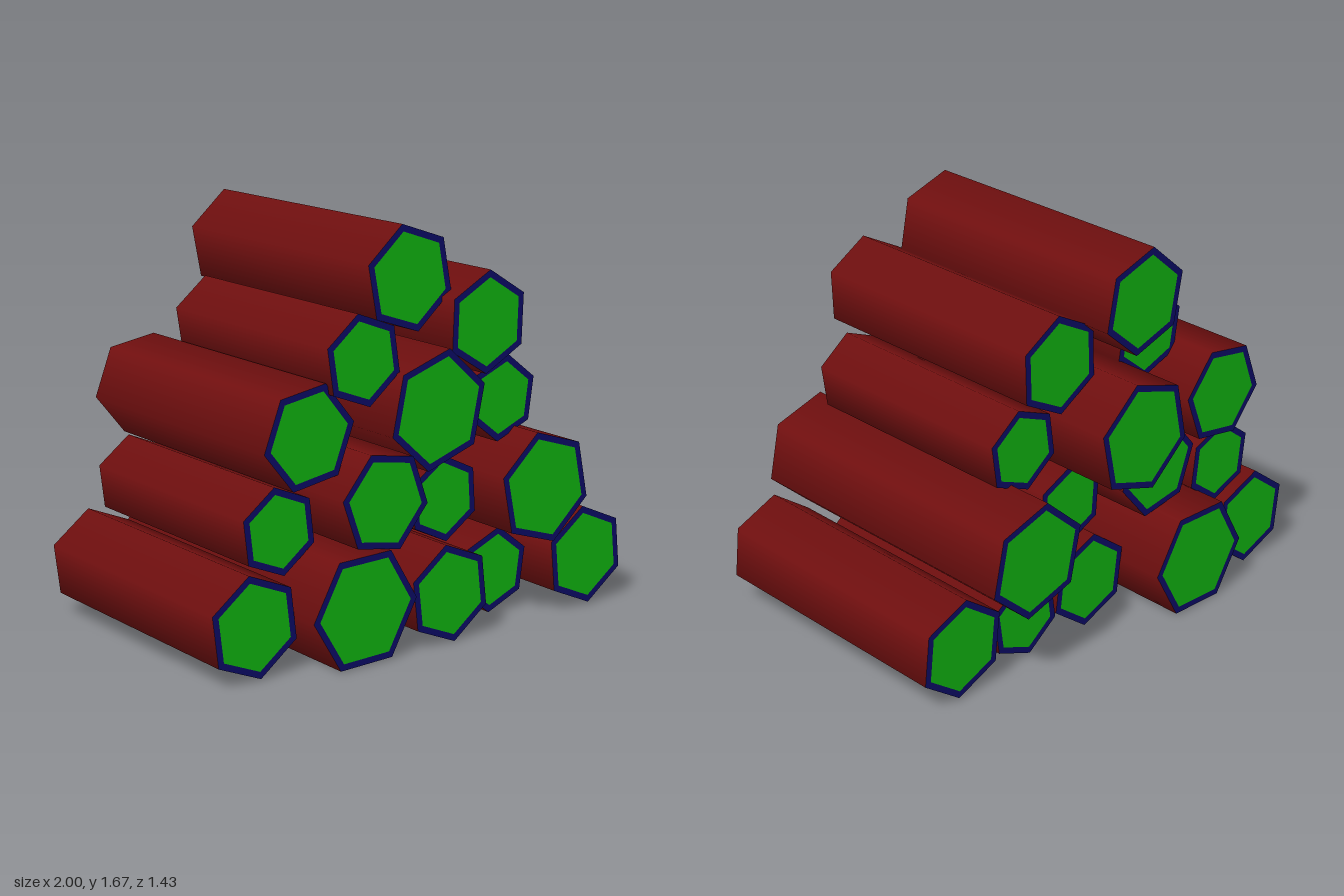
import * as THREE from 'three';

// centre x, centre y, radius, corner angle (degrees), back z, front z
const LOGS = [
  // bottom row
  [-0.81, 0.22, 0.21, 97, -0.555, 0.58],
  [-0.375, 0.23, 0.25, 1, -0.66, 0.70],
  [0.055, 0.21, 0.205, 97, -0.45, 0.69],
  [0.425, 0.195, 0.18, 22, -0.46, 0.53],
  [0.80, 0.225, 0.212, 96, -0.505, 0.675],
  // second row
  [-0.63, 0.54, 0.18, 97, -0.525, 0.49],
  [-0.265, 0.635, 0.21, -10, -0.52, 0.68],
  [0.12, 0.56, 0.18, 94, -0.40, 0.57],
  [0.535, 0.565, 0.24, 102, -0.645, 0.71],
  // third row
  [-0.545, 0.91, 0.213, 9, -0.605, 0.57],
  [0.03, 0.945, 0.243, 18, -0.715, 0.64],
  [0.42, 0.925, 0.178, 22, -0.445, 0.57],
  // top logs
  [-0.31, 1.18, 0.186, 99, -0.41, 0.60],
  [-0.05, 1.46, 0.217, 101, -0.625, 0.555],
  [0.285, 1.26, 0.207, 28, -0.505, 0.63],
];

export function createModel() {
  const bark = new THREE.MeshStandardMaterial({ color: 0x700f0f, name: 'bark' });
  const rim = new THREE.MeshStandardMaterial({ color: 0x0b0b66, name: 'rim' });
  const core = new THREE.MeshStandardMaterial({ color: 0x10b410, name: 'core' });
  const model = new THREE.Group();
  model.name = 'logPile';

  const add = (parent, name, geometry, material) => {
    const mesh = new THREE.Mesh(geometry, material);
    mesh.name = name;
    parent.add(mesh);
    return mesh;
  };

  LOGS.forEach(([x, y, r, degrees, back, front], i) => {
    const angle = THREE.MathUtils.degToRad(degrees);
    const length = front - back;
    const log = new THREE.Group();
    log.name = `log${i + 1}`;
    log.position.set(x, y, (front + back) / 2);

    // six-sided trunk with smooth sides
    const trunk = new THREE.CylinderGeometry(r, r, length, 6, 1, true, angle + Math.PI / 2);
    add(log, 'bark', trunk.rotateX(Math.PI / 2), bark);

    // cut ends: a thin rim around a flat core
    const inner = r - 0.03;
    for (const side of [1, -1]) {
      const end = new THREE.Group();
      end.name = side > 0 ? 'frontEnd' : 'backEnd';
      end.position.z = side * length / 2;
      if (side < 0) end.rotation.y = Math.PI;
      add(end, 'rim', new THREE.RingGeometry(inner, r, 6, 1, side * angle), rim);
      add(end, 'core', new THREE.CircleGeometry(inner, 6, side * angle), core);
      log.add(end);
    }
    model.add(log);
  });
  return model;
}
